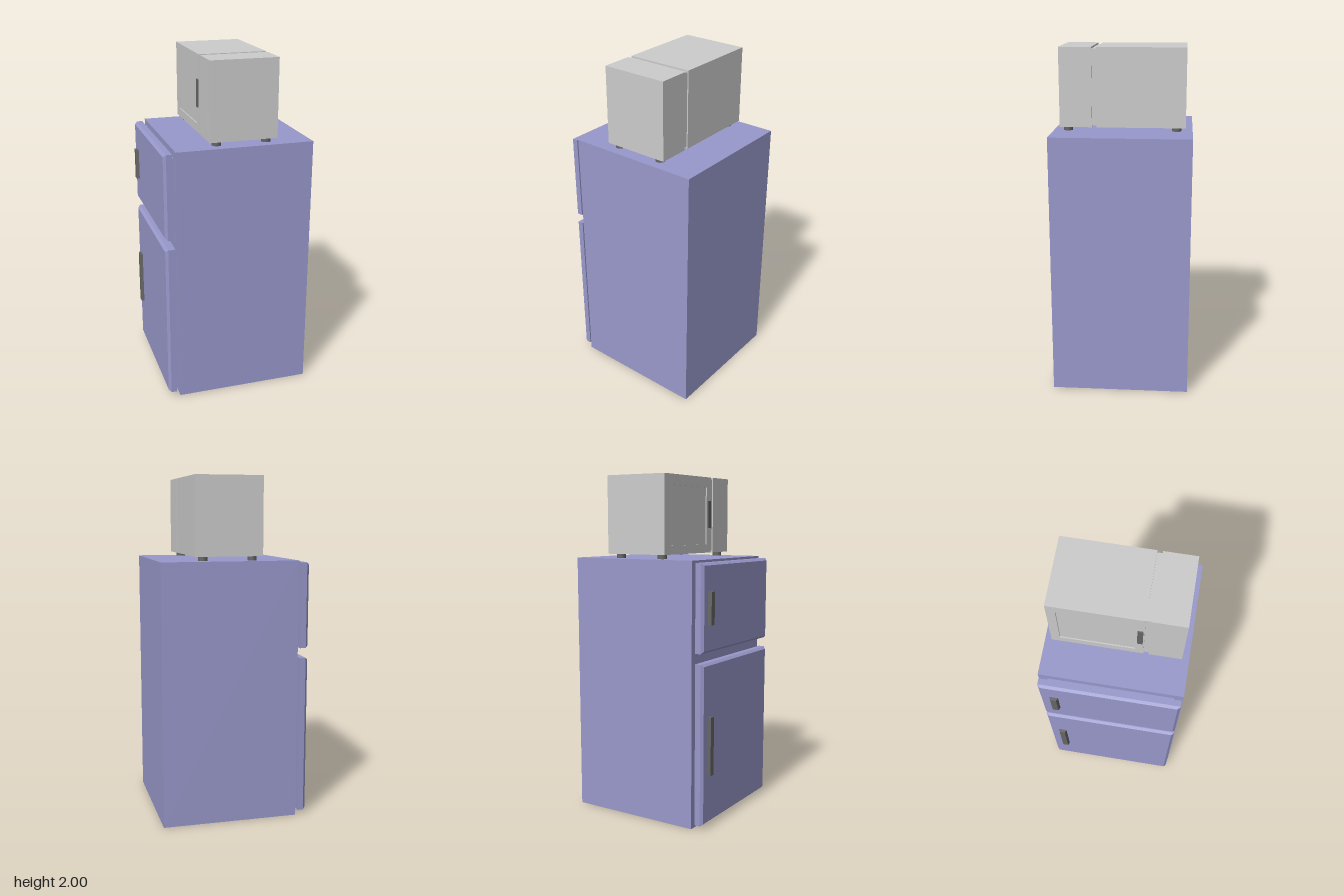
import * as THREE from 'three';

const material = (name, color) => {
  const m = new THREE.MeshStandardMaterial({ color });
  m.name = name;
  return m;
};

// Box between two corners; the -x face can be inset in y and z to make a chamfer.
function block(name, mat, [x0, x1], [y0, y1], [z0, z1], insetY = 0, insetZ = 0) {
  const geo = new THREE.BoxGeometry(x1 - x0, y1 - y0, z1 - z0);
  const p = geo.attributes.position;
  for (let i = 0; i < p.count; i++) {
    if (p.getX(i) > 0) continue;
    p.setY(i, p.getY(i) - Math.sign(p.getY(i)) * insetY);
    p.setZ(i, p.getZ(i) - Math.sign(p.getZ(i)) * insetZ);
  }
  geo.computeVertexNormals();
  const mesh = new THREE.Mesh(geo, mat);
  mesh.position.set((x0 + x1) / 2, (y0 + y1) / 2, (z0 + z1) / 2);
  mesh.name = name;
  return mesh;
}

export function createModel() {
  const lilac = material('lilac enamel', 0x9999cc);
  const grey = material('light grey casing', 0xcccccc);
  const dark = material('dark grey trim', 0x666666);
  const model = new THREE.Group();
  model.name = 'fridgeWithMicrowave';

  // Fridge cabinet
  const fridge = new THREE.Group();
  fridge.name = 'fridge';
  fridge.add(block('cabinet', lilac, [-0.358, 0.442], [0, 1.525], [-0.4, 0.4]));

  // Doors facing -x: seal, slab, chamfered face and tapered handle
  const doors = [
    { name: 'fridgeDoor', y: [0.025, 0.957], seal: [0.06, 0.94], handle: [0.31, 0.65] },
    { name: 'freezerDoor', y: [1.015, 1.513], seal: [1.048, 1.478], handle: [1.17, 1.355] },
  ];
  for (const d of doors) {
    const door = new THREE.Group();
    door.name = d.name;
    door.add(
      block('doorSeal', lilac, [-0.376, -0.358], d.seal, [-0.35, 0.35]),
      block('doorSlab', lilac, [-0.41, -0.376], d.y, [-0.393, 0.391]),
      block('doorFace', lilac, [-0.425, -0.41], d.y, [-0.393, 0.391], 0.014, 0.014),
      block('doorHandle', dark, [-0.443, -0.425], d.handle, [-0.338, -0.288], 0, 0.008),
    );
    fridge.add(door);
  }
  model.add(fridge);

  // Microwave casing in two parts joined by a narrow recessed groove
  const microwave = new THREE.Group();
  microwave.name = 'microwave';
  microwave.add(
    block('controlSection', grey, [-0.155, 0.24], [1.55, 2], [0.175, 0.36]),
    block('groove', grey, [-0.148, 0.233], [1.56, 1.99], [0.147, 0.175]),
    block('ovenSection', grey, [-0.148, 0.24], [1.55, 2], [-0.36, 0.147]),
    block('ovenHandle', dark, [-0.162, -0.155], [1.7, 1.86], [0.11, 0.14]),
  );

  // Oven door frame around the sunken window
  const rect = (T, z0, z1, y0, y1) =>
    new T([[z0, y0], [z1, y0], [z1, y1], [z0, y1]].map((c) => new THREE.Vector2(...c)));
  const frame = rect(THREE.Shape, -0.36, 0.147, 1.55, 2);
  frame.holes.push(rect(THREE.Path, -0.31, 0.1, 1.6, 1.94));
  const frameGeo = new THREE.ExtrudeGeometry(frame, { depth: 0.007, bevelEnabled: false });
  frameGeo.rotateY(-Math.PI / 2).translate(-0.148, 0, 0);
  const frameMesh = new THREE.Mesh(frameGeo, grey);
  frameMesh.name = 'ovenDoorFrame';
  microwave.add(frameMesh);

  // Four round feet
  const footGeo = new THREE.CylinderGeometry(0.027, 0.027, 0.025, 12);
  for (const x of [-0.105, 0.185]) {
    for (const z of [-0.308, 0.318]) {
      const foot = new THREE.Mesh(footGeo, dark);
      foot.position.set(x, 1.5375, z);
      foot.name = 'foot';
      microwave.add(foot);
    }
  }
  model.add(microwave);
  return model;
}
